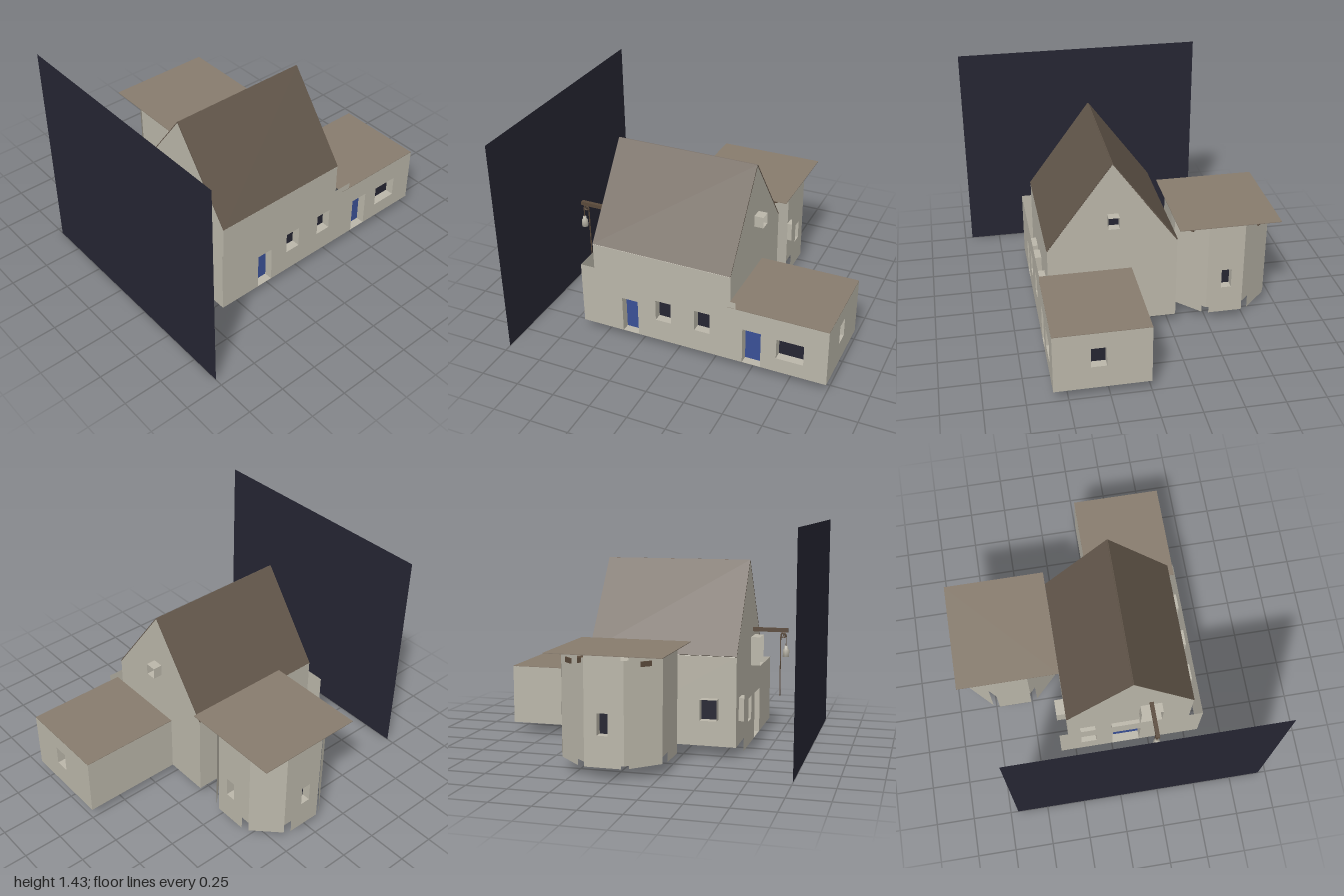
import * as THREE from 'three';

const mat = (name, color) => {
  const m = new THREE.MeshStandardMaterial({ color, side: THREE.DoubleSide });
  m.name = name;
  return m;
};

export function createModel() {
  const model = new THREE.Group();
  model.name = 'farmhouse';
  const plaster = mat('plaster', 0xbab6a9);
  const tile = mat('roofTile', 0x62564a);
  const flat = mat('flatRoof', 0x877b6d);
  const glass = mat('darkGlass', 0x252532);
  const blue = mat('blueDoor', 0x3a5096);
  const timber = mat('timber', 0x5a4a3b);

  const add = (parent, name, geo, material, x = 0, y = 0, z = 0) => {
    const m = new THREE.Mesh(geo, material);
    m.name = name;
    m.position.set(x, y, z);
    parent.add(m);
    return m;
  };
  const box = (name, material, w, h, d, x, y, z) =>
    add(model, name, new THREE.BoxGeometry(w, h, d), material, x, y, z);

  const BASE = 0.07, DEPTH = 0.06;

  // Group whose local +z points out of a wall
  const face = (name, x, z, angle) => {
    const g = new THREE.Group();
    g.name = name;
    g.position.set(x, 0, z);
    g.rotation.y = angle;
    model.add(g);
    return g;
  };

  // Thin wall sheet spanning x0..x1, y0..y1, cut by openings [x0, x1, y0, y1]
  const sheet = (g, x0, x1, y0, y1, holes = []) => {
    const rect = (T, a, b, c, d) => {
      const p = new T();
      p.moveTo(a, c); p.lineTo(b, c); p.lineTo(b, d); p.lineTo(a, d); p.closePath();
      return p;
    };
    const s = rect(THREE.Shape, x0, x1, y0, y1);
    holes.forEach(([a, b, c, d]) => s.holes.push(rect(THREE.Path, a, b, Math.max(c, y0 + 0.002), d)));
    add(g, 'wallSheet', new THREE.ShapeGeometry(s), plaster);
  };

  // Open reveal running back from the wall plane, closed by a pane
  const opening = (g, name, [x0, x1, y0, y1], material) => {
    const w = x1 - x0, h = y1 - y0, cx = (x0 + x1) / 2, cy = (y0 + y1) / 2;
    for (const x of [x0, x1])
      add(g, name + 'Jamb', new THREE.PlaneGeometry(DEPTH, h).rotateY(Math.PI / 2), plaster, x, cy, -DEPTH / 2);
    for (const y of [y0, y1])
      add(g, name + 'Sill', new THREE.PlaneGeometry(w, DEPTH).rotateX(Math.PI / 2), plaster, cx, y, -DEPTH / 2);
    add(g, name, new THREE.PlaneGeometry(w, h), material, cx, cy, -DEPTH + 0.004);
  };

  // Main house with gable ends
  const X0 = -0.59, X1 = 0.35, ZF = 0.53, ZB = -0.29, ZR = 0.12, EAVE = 0.63, RIDGE = 1.19;
  const gable = new THREE.Shape([[-ZF, BASE], [-ZB, BASE], [-ZB, EAVE], [-ZR, RIDGE], [-ZF, EAVE]]
    .map(p => new THREE.Vector2(...p)));
  const body = new THREE.ExtrudeGeometry(gable, { depth: X1 - X0, bevelEnabled: false });
  add(model, 'houseBody', body.rotateY(Math.PI / 2), plaster, X0);

  // Steep roof slopes
  const run = ZF - ZR, rise = RIDGE - EAVE, tilt = Math.atan2(run, rise);
  for (const s of [1, -1]) {
    const slope = box('roofSlope', tile, X1 - X0, Math.hypot(run, rise), 0.008,
      (X0 + X1) / 2, (EAVE + RIDGE) / 2 + 0.002, ZR + s * run / 2);
    slope.rotation.x = -s * tilt;
  }

  // Front wall sheet with doors and windows
  const front = face('frontWall', 0, 0.59, 0);
  const doorA = [-0.365, -0.255, BASE, 0.32], doorB = [0.455, 0.575, BASE, 0.32];
  const winA = [-0.13, -0.025, 0.22, 0.365], winB = [0.135, 0.24, 0.22, 0.365];
  const winC = [0.675, 0.85, 0.17, 0.31];
  sheet(front, -0.65, 0.41, BASE, 0.5, [doorA, winA, winB]);
  sheet(front, 0.41, 1, BASE, 0.455, [doorB, winC]);
  [doorA, doorB].forEach(d => opening(front, 'door', d, blue));
  [winA, winB, winC].forEach(w => opening(front, 'window', w, glass));

  // Left wall sheet, with a loading hatch above (local x runs along +z)
  const leftWall = face('sideWall', -0.65, 0, -Math.PI / 2);
  const sideDoor = [0, 0.185, BASE, 0.36], sideWin = [-0.21, -0.11, 0.22, 0.365];
  sheet(leftWall, -0.35, 0.59, BASE, 0.5, [sideDoor, sideWin]);
  opening(leftWall, 'sideDoor', sideDoor, blue);
  opening(leftWall, 'sideWindow', sideWin, glass);
  opening(leftWall, 'loadingHatch', [0.18, 0.32, 0.505, 0.69], blue);

  // Projecting gable window and back window
  opening(face('gableWindow', 0.41, 0, Math.PI / 2), 'window', [-0.155, -0.085, 0.78, 0.855], glass);
  opening(face('backWindow', 0, -0.35, Math.PI), 'window', [0.375, 0.48, 0.24, 0.37], glass);

  // Low extension
  const end = face('extensionEnd', 1, 0, Math.PI / 2);
  const endWin = [-0.365, -0.27, 0.22, 0.35];
  sheet(end, -0.59, 0, BASE, 0.455, [endWin]);
  opening(end, 'window', endWin, glass);
  sheet(face('extensionBack', 0, 0, Math.PI), -1, -0.35, BASE, 0.455);
  box('extensionRoof', flat, 0.65, 0.004, 0.59, 0.675, 0.456, 0.295);

  // Eight-sided tower: inner drum with separate outer panels
  const TX = 0.05, TZ = -0.615, OUT = 0.325;
  const drum = new THREE.CylinderGeometry(0.287, 0.287, 0.61, 8, 1, false, Math.PI / 8).toNonIndexed();
  drum.computeVertexNormals();
  add(model, 'towerDrum', drum, plaster, TX, BASE + 0.305, TZ);
  for (let i = 1; i < 8; i++) {
    const a = i * Math.PI / 4;
    const g = face('towerPanel', TX + OUT * Math.sin(a), TZ + OUT * Math.cos(a), a);
    const win = [-0.033, 0.033, 0.255, 0.385];
    const hasWin = i === 2 || i === 4;
    sheet(g, -0.11, 0.11, BASE, 0.713, hasWin ? [win] : []);
    if (hasWin) opening(g, 'towerWindow', win, glass);
  }
  for (const s of [1, -1])
    box('towerBeam', timber, 0.07, 0.03, 0.67, TX, 0.665, TZ).rotation.y = s * Math.PI / 4;
  box('towerRoof', flat, 0.705, 0.004, 0.655, 0.047, 0.716, -0.6225);

  // Hoist: beam, pulley, rope and hanging weight
  const HZ = 0.25;
  box('hoistBeam', timber, 0.23, 0.025, 0.025, -0.705, 0.733, HZ);
  box('pulleyHanger', timber, 0.008, 0.03, 0.008, -0.79, 0.71, HZ);
  add(model, 'pulley', new THREE.TorusGeometry(0.015, 0.005, 6, 16), timber, -0.79, 0.7, HZ);
  box('rope', timber, 0.006, 0.4, 0.006, -0.772, 0.5, HZ);
  box('weightRope', timber, 0.005, 0.07, 0.005, -0.808, 0.665, HZ);
  const sack = [[0, 0.56], [0.021, 0.56], [0.021, 0.605], [0.012, 0.615], [0.01, 0.632], [0, 0.632]];
  add(model, 'hangingWeight', new THREE.LatheGeometry(sack.map(p => new THREE.Vector2(...p)), 8),
    plaster, -0.808, 0, HZ);

  // Tall dark screen standing beside the house
  add(model, 'darkScreen', new THREE.PlaneGeometry(1.65, 1.43).rotateY(Math.PI / 2), glass, -1, 0.715, 0.125);

  return model;
}
